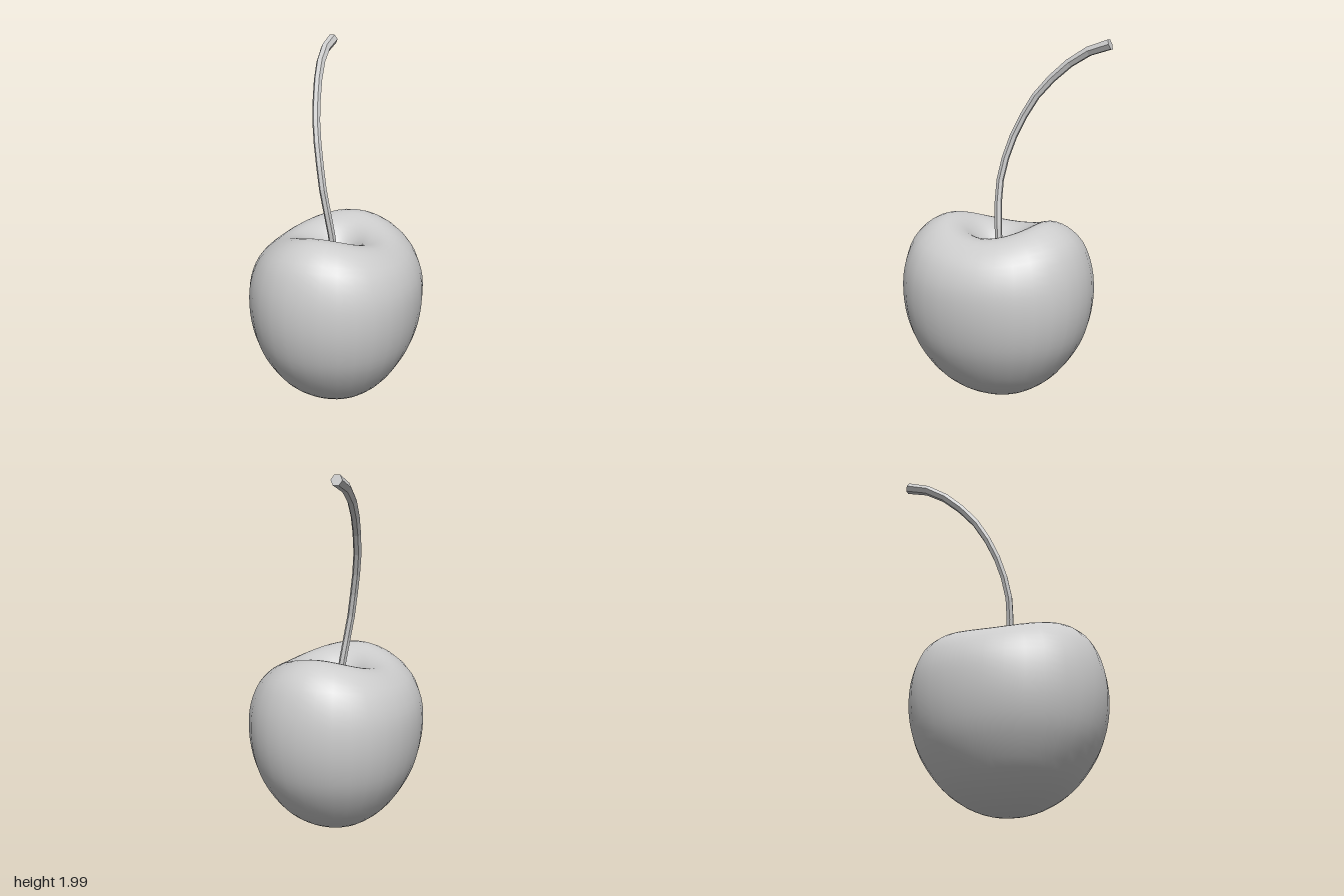
import * as THREE from 'three';
import { mergeVertices } from 'three/addons/utils/BufferGeometryUtils.js';

const v3 = (x, y, z) => new THREE.Vector3(x, y, z);

// Fruit: a lathed profile swelled to a full oval, with the rim lowered at both seams
function fruitGeometry() {
  const profile = new THREE.SplineCurve([
    [0, 0.005], [0.22, 0.022], [0.45, 0.075], [0.67, 0.17], [0.86, 0.315], [0.96, 0.455],
    [1, 0.61], [0.975, 0.77], [0.88, 0.91], [0.72, 0.995], [0.54, 1.027], [0.38, 0.995],
    [0.24, 0.925], [0.11, 0.84], [0.04, 0.78], [0, 0.76],
  ].map(([x, y]) => new THREE.Vector2(x, y)));
  const points = profile.getPoints(45);
  points.forEach((p) => { p.x = Math.max(p.x, 0); });
  points[0].x = points[45].x = 0;

  let geo = new THREE.LatheGeometry(points, 32);
  geo.deleteAttribute('uv');
  geo.deleteAttribute('normal');
  const pos = geo.attributes.position;
  const LONG = 0.542, SHORT = 0.475, POWER = 2.15;
  for (let i = 0; i < pos.count; i++) {
    const x = pos.getX(i), y = pos.getY(i), z = pos.getZ(i);
    const r = Math.hypot(x, z);
    const c = r > 1e-5 ? Math.abs(x / r) : 1, s = r > 1e-5 ? Math.abs(z / r) : 0;
    const swell = (c ** POWER + s ** POWER) ** (-1 / POWER);
    const upper = THREE.MathUtils.smoothstep(y, 0.6, 1.0) * THREE.MathUtils.smoothstep(r, 0.1, 0.55);
    pos.setXYZ(i, x * LONG * swell, y - 0.075 * s * s * upper, z * SHORT * swell);
  }
  geo.rotateY(THREE.MathUtils.degToRad(50));
  geo.translate(0, 0, 0.03);
  geo = mergeVertices(geo, 1e-5);
  geo.computeVertexNormals();
  return geo;
}

// Stem: a six-sided tube that thickens toward its cut end
function stemGeometry() {
  const STEPS = 12, SIDES = 6;
  const path = new THREE.CatmullRomCurve3([
    v3(0.005, 0.72, 0.02), v3(-0.035, 1.0, 0.02), v3(-0.07, 1.2, 0.005), v3(-0.077, 1.39, -0.045),
    v3(-0.068, 1.55, -0.115), v3(-0.035, 1.7, -0.2), v3(0.015, 1.82, -0.305),
    v3(0.085, 1.92, -0.42), v3(0.182, 1.972, -0.54),
  ]);
  const tube = new THREE.TubeGeometry(path, STEPS, 1, SIDES);
  const pos = tube.attributes.position;
  const p = v3(0, 0, 0);
  for (let i = 0; i <= STEPS; i++) {
    const t = i / STEPS;
    const center = path.getPointAt(t);
    const radius = 0.021 + 0.01 * t ** 4;
    for (let j = 0; j <= SIDES; j++) {
      const k = i * (SIDES + 1) + j;
      p.fromBufferAttribute(pos, k).sub(center).multiplyScalar(radius).add(center);
      pos.setXYZ(k, p.x, p.y, p.z);
    }
  }
  const flat = tube.toNonIndexed();
  flat.computeVertexNormals();

  // Cut end, a fan over the last ring facing along the path
  const end = path.getPointAt(1), dir = path.getTangentAt(1);
  const ring = [];
  for (let j = 0; j <= SIDES; j++) ring.push(v3(0, 0, 0).fromBufferAttribute(pos, STEPS * (SIDES + 1) + j));
  const fan = [];
  for (let j = 0; j < SIDES; j++) {
    const a = ring[j], b = ring[j + 1];
    const outward = a.clone().sub(end).cross(b.clone().sub(end)).dot(dir) > 0;
    fan.push(end, outward ? a : b, outward ? b : a);
  }
  const cap = new THREE.BufferGeometry().setFromPoints(fan);
  cap.computeVertexNormals();
  return { flat, cap };
}

export function createModel() {
  const grey = new THREE.MeshStandardMaterial({ color: 0xcccccc });
  grey.name = 'light grey';
  const model = new THREE.Group();
  model.name = 'cherry';
  const add = (name, geometry) => {
    const mesh = new THREE.Mesh(geometry, grey);
    mesh.name = name;
    model.add(mesh);
  };
  const stem = stemGeometry();
  add('fruit', fruitGeometry());
  add('stem', stem.flat);
  add('stemEnd', stem.cap);
  return model;
}
